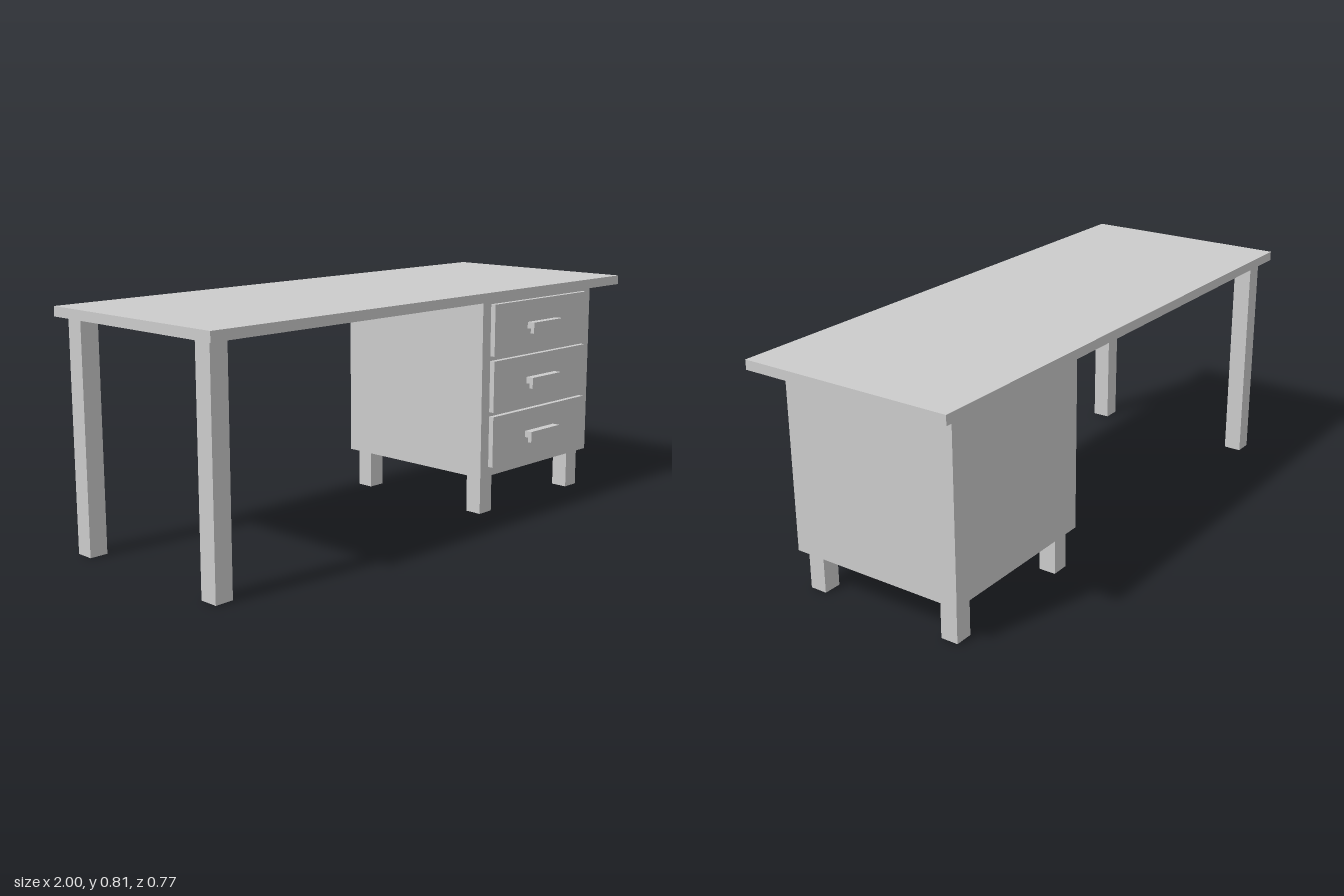
import * as THREE from 'three';

const material = new THREE.MeshStandardMaterial({ color: 0xcccccc, flatShading: true });

// Box given by its extents on each axis
function box(parent, name, [x0, x1], [y0, y1], [z0, z1]) {
  const mesh = new THREE.Mesh(new THREE.BoxGeometry(x1 - x0, y1 - y0, z1 - z0), material);
  mesh.position.set((x0 + x1) / 2, (y0 + y1) / 2, (z0 + z1) / 2);
  mesh.name = name;
  parent.add(mesh);
}

// L-shaped pull: a shelf off the drawer front with a lip hanging down
function handle(y) {
  const profile = new THREE.Shape([
    [0, 0.017], [0.014, 0.017], [0.014, 0], [0.029, 0], [0.029, 0.04], [0, 0.04],
  ].map(([z, h]) => new THREE.Vector2(-z, h)));
  const geometry = new THREE.ExtrudeGeometry(profile, { depth: 0.17, bevelEnabled: false });
  geometry.rotateY(Math.PI / 2); // profile -x becomes +z, extrusion runs along +x
  const mesh = new THREE.Mesh(geometry, material);
  mesh.position.set(0.487, y, 0.346);
  mesh.name = 'drawerHandle';
  return mesh;
}

export function createModel() {
  const desk = new THREE.Group();
  desk.name = 'desk';

  box(desk, 'tableTop', [-1, 1], [0.777, 0.81], [-0.383, 0.383]);
  box(desk, 'cabinet', [0.263, 0.902], [0.141, 0.777], [-0.322, 0.322]);

  // Legs, front and back: tall ones at the open end, short ones under the cabinet
  for (const s of [1, -1]) {
    const span = (a, b) => (s > 0 ? [a, b] : [-b, -a]);
    box(desk, 'tallLeg', [-0.973, -0.908], [0, 0.777], span(0.281, 0.346));
    for (const x of [0.289, 0.813]) {
      box(desk, 'cabinetLeg', [x, x + 0.064], [0, 0.141], span(0.239, 0.301));
    }
  }

  // Drawers: front panel on a narrow spacer, with a handle
  for (const y of [0.177, 0.376, 0.576]) {
    const drawer = new THREE.Group();
    drawer.name = 'drawer';
    box(drawer, 'drawerSpacer', [0.32, 0.825], [y + 0.02, y + 0.164], [0.315, 0.328]);
    box(drawer, 'drawerFront', [0.3, 0.845], [y, y + 0.183], [0.327, 0.346]);
    drawer.add(handle(y + 0.064));
    desk.add(drawer);
  }
  return desk;
}
